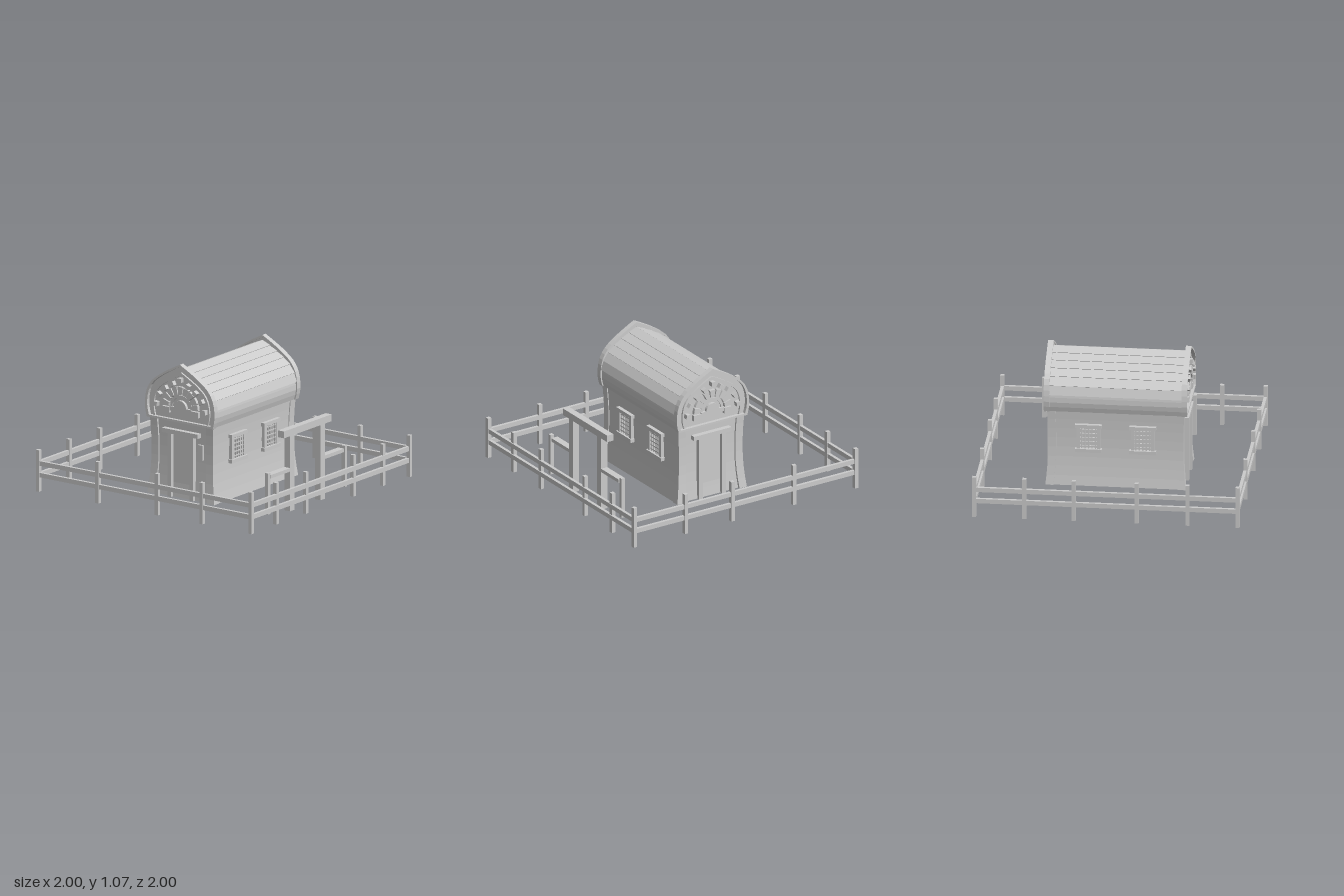
import * as THREE from 'three';

const material = new THREE.MeshStandardMaterial({ color: 0xcccccc, flatShading: true, side: THREE.DoubleSide });
const EAVE = 0.623, BASE = 0.035;

function add(parent, name, geometry, x = 0, y = 0, z = 0) {
  const mesh = new THREE.Mesh(geometry, material);
  mesh.name = name;
  mesh.position.set(x, y, z);
  parent.add(mesh);
  return mesh;
}

// box given by its lower and upper limits
function box(parent, name, x0, x1, y0, y1, z0, z1) {
  return add(parent, name, new THREE.BoxGeometry(x1 - x0, y1 - y0, z1 - z0),
    (x0 + x1) / 2, (y0 + y1) / 2, (z0 + z1) / 2);
}

// pointed barrel outline, from the right eave over the ridge to the left eave
const halfArch = new THREE.SplineCurve([
  [0.305, 0], [0.323, 0.087], [0.309, 0.2], [0.262, 0.283], [0.18, 0.348], [0.087, 0.403], [0, 0.448],
].map(p => new THREE.Vector2(...p)));

function arch(sx, sy = sx, n = 14, lift = 0) {
  const half = halfArch.getSpacedPoints(n).map(p => new THREE.Vector2(p.x * sx, EAVE + lift + p.y * sy));
  return [...half, ...half.slice(0, -1).reverse().map(p => new THREE.Vector2(-p.x, p.y))];
}

function extrude(points, hole, depth) {
  const shape = new THREE.Shape(points);
  if (hole) shape.holes.push(new THREE.Path(hole));
  return new THREE.ExtrudeGeometry(shape, { depth, bevelEnabled: false });
}

// sector of a ring between two angles
function sector(r0, r1, a0, a1, depth, n = 4) {
  const pts = [];
  for (let i = 0; i <= n; i++) {
    const a = a0 + (a1 - a0) * i / n;
    pts.push(new THREE.Vector2(Math.cos(a) * r1, Math.sin(a) * r1));
  }
  for (let i = n; i >= 0; i--) {
    const a = a0 + (a1 - a0) * i / n;
    pts.push(new THREE.Vector2(Math.cos(a) * r0, Math.sin(a) * r0));
  }
  return extrude(pts, null, depth);
}

// walls and corner posts widen toward foot and top
function flare(y) {
  const t = (y - 0.37) / 0.335;
  return (t < 0 ? 0.026 : 0.018) * t * t;
}

function buildWalls(house) {
  const h = EAVE + 0.01 - BASE, mid = BASE + h / 2;
  const walls = new THREE.CylinderGeometry(1, 1, h, 4, 8, true, Math.PI / 4);
  let p = walls.attributes.position;
  for (let i = 0; i < p.count; i++) {
    const f = flare(p.getY(i) + mid);
    p.setX(i, Math.sign(p.getX(i)) * (0.276 + f));
    p.setZ(i, Math.sign(p.getZ(i)) * (0.492 + f * 0.5));
  }
  add(house, 'walls', walls, 0, mid, 0);

  for (const sx of [-1, 1]) for (const sz of [-1, 1]) {
    const post = new THREE.BoxGeometry(0.065, h, 0.06, 1, 8, 1);
    p = post.attributes.position;
    for (let i = 0; i < p.count; i++) {
      const f = flare(p.getY(i) + mid);
      p.setX(i, p.getX(i) + sx * (0.251 + f));
      p.setZ(i, p.getZ(i) + sz * (0.475 + f * 0.75));
    }
    add(house, 'cornerPost', post, 0, mid, 0);
  }
}

function buildRoof(house) {
  const shell = extrude(arch(0.965, 0.895), [...arch(0.92, 0.85)], 1.0);
  add(house, 'roofShell', shell, 0, 0, -0.5);
  // overlapping planks along the upper part
  const pts = arch(0.975, 0.905, 8);
  for (let i = 0; i < pts.length - 1; i++) {
    const a = pts[i], b = pts[i + 1];
    const my = (a.y + b.y) / 2;
    if (my < 0.77) continue;
    const plank = add(house, 'roofPlank', new THREE.BoxGeometry(a.distanceTo(b) * 1.03, 0.012, 1.0),
      (a.x + b.x) / 2, my, 0);
    plank.rotation.z = Math.atan2(b.y - a.y, b.x - a.x) + (a.x > 0 ? 0.06 : -0.06);
  }
}

// gable with fan ornament and doorway, facing +z
function buildEnd() {
  const end = new THREE.Group();
  end.name = 'houseEnd';
  add(end, 'gableRim', extrude(arch(1), arch(0.935, 0.925, 14, 0.016), 0.042), 0, 0, 0.494);
  add(end, 'gablePanel', extrude(arch(0.96), null, 0.012), 0, 0, 0.497);
  add(end, 'gableMoulding', extrude(arch(0.82, 0.82, 14, 0.016), arch(0.775, 0.775, 14, 0.016), 0.018), 0, 0, 0.505);

  // square studs following the arch
  const curve = new THREE.SplineCurve(arch(0.7, 0.73));
  for (let i = 0; i < 9; i++) {
    const u = 0.13 + 0.74 * i / 8;
    const p = curve.getPointAt(u), t = curve.getTangentAt(u);
    const stud = add(end, 'gableStud', new THREE.BoxGeometry(0.033, 0.033, 0.04), p.x, p.y, 0.525);
    stud.rotation.z = i === 4 ? 0 : Math.atan2(t.y, t.x);
  }

  // fan of wedge blocks around a half disc
  const n = 9, step = Math.PI / n;
  for (let i = 0; i < n; i++) {
    add(end, 'fanBlock', sector(0.108, 0.166, i * step + 0.03, (i + 1) * step - 0.03, 0.028), 0, 0.732, 0.505);
  }
  add(end, 'fanArch', sector(0.082, 0.098, 0, Math.PI, 0.014, 14), 0, 0.732, 0.505);
  add(end, 'fanCentre', sector(0, 0.056, 0, Math.PI, 0.028, 12), 0, 0.735, 0.505);
  box(end, 'fanSill', -0.1, 0.1, 0.702, 0.735, 0.505, 0.53);
  for (const s of [-1, 1]) {
    add(end, 'fanFoot', new THREE.BoxGeometry(0.066, 0.045, 0.028), s * 0.135, 0.705, 0.519);
    add(end, 'doorPost', new THREE.BoxGeometry(0.034, 0.49, 0.04), s * 0.102, 0.28, 0.51);
  }
  box(end, 'door', -0.085, 0.085, BASE, 0.525, 0.485, 0.498);
  box(end, 'doorLintel', -0.168, 0.166, 0.525, 0.558, 0.485, 0.535);
  return end;
}

// window facing +x, centred on z = 0
function buildWindow() {
  const win = new THREE.Group();
  win.name = 'window';
  box(win, 'windowHeader', 0.27, 0.31, 0.5, 0.527, -0.1, 0.1);
  box(win, 'windowSill', 0.27, 0.312, 0.307, 0.334, -0.1, 0.1);
  for (const s of [-1, 1]) {
    add(win, 'windowJamb', new THREE.BoxGeometry(0.03, 0.17, 0.024), 0.287, 0.417, s * 0.076);
  }
  for (let i = 0; i < 5; i++) {
    add(win, 'latticeUpright', new THREE.BoxGeometry(0.014, 0.17, 0.009), 0.289, 0.417, (i - 2) * 0.026);
    add(win, 'latticeRail', new THREE.BoxGeometry(0.012, 0.009, 0.13), 0.289, 0.352 + i * 0.0325, 0);
  }
  return win;
}

function buildFence(root) {
  const fence = new THREE.Group();
  fence.name = 'fence';
  const post = (x, z) => box(fence, 'fencePost', x - 0.015, x + 0.015, BASE, 0.355, z - 0.015, z + 0.015);
  for (const s of [-1, 1]) {
    for (const x of [-0.985, -0.435, 0.115, 0.53, 0.985]) post(x, s * 0.985);
    for (const y of [0.163, 0.253]) {
      add(fence, 'fenceRail', new THREE.BoxGeometry(1.97, 0.035, 0.024), 0, y, s * 0.983);
      add(fence, 'fenceRail', new THREE.BoxGeometry(0.024, 0.035, 1.97), s * 0.983, y, 0);
    }
  }
  for (const z of [-0.67, -0.3, 0.29, 0.66]) post(0.972, z);
  for (const z of [-0.61, -0.24, 0.23, 0.61]) post(-0.983, z);
  root.add(fence);
}

function buildGate(root) {
  const gate = new THREE.Group();
  gate.name = 'gate';
  box(gate, 'gateBeam', 0.72, 0.775, 0.58, 0.633, -0.3, 0.295);
  for (const s of [-1, 1]) {
    add(gate, 'gatePost', new THREE.BoxGeometry(0.055, 0.58, 0.055), 0.7475, 0.29, s * 0.19);
    add(gate, 'gateSideRail', new THREE.BoxGeometry(0.055, 0.027, 0.25), 0.7475, 0.32, s * 0.33);
    add(gate, 'gateSidePost', new THREE.BoxGeometry(0.03, 0.318, 0.03), 0.76, 0.194, s * 0.478);
  }
  root.add(gate);
}

export function createModel() {
  const root = new THREE.Group();
  root.name = 'fencedHut';
  const house = new THREE.Group();
  house.name = 'house';
  house.position.x = -0.012;
  root.add(house);

  buildWalls(house);
  buildRoof(house);
  for (const turn of [0, Math.PI]) {
    const end = buildEnd();
    end.rotation.y = turn;
    house.add(end);
    for (const z of [-0.203, 0.203]) {
      const win = buildWindow();
      win.rotation.y = turn;
      win.position.z = z;
      house.add(win);
    }
  }
  box(house, 'doorPlate', 0.149, 0.192, 0.355, 0.472, 0.485, 0.512);

  buildFence(root);
  buildGate(root);
  return root;
}
